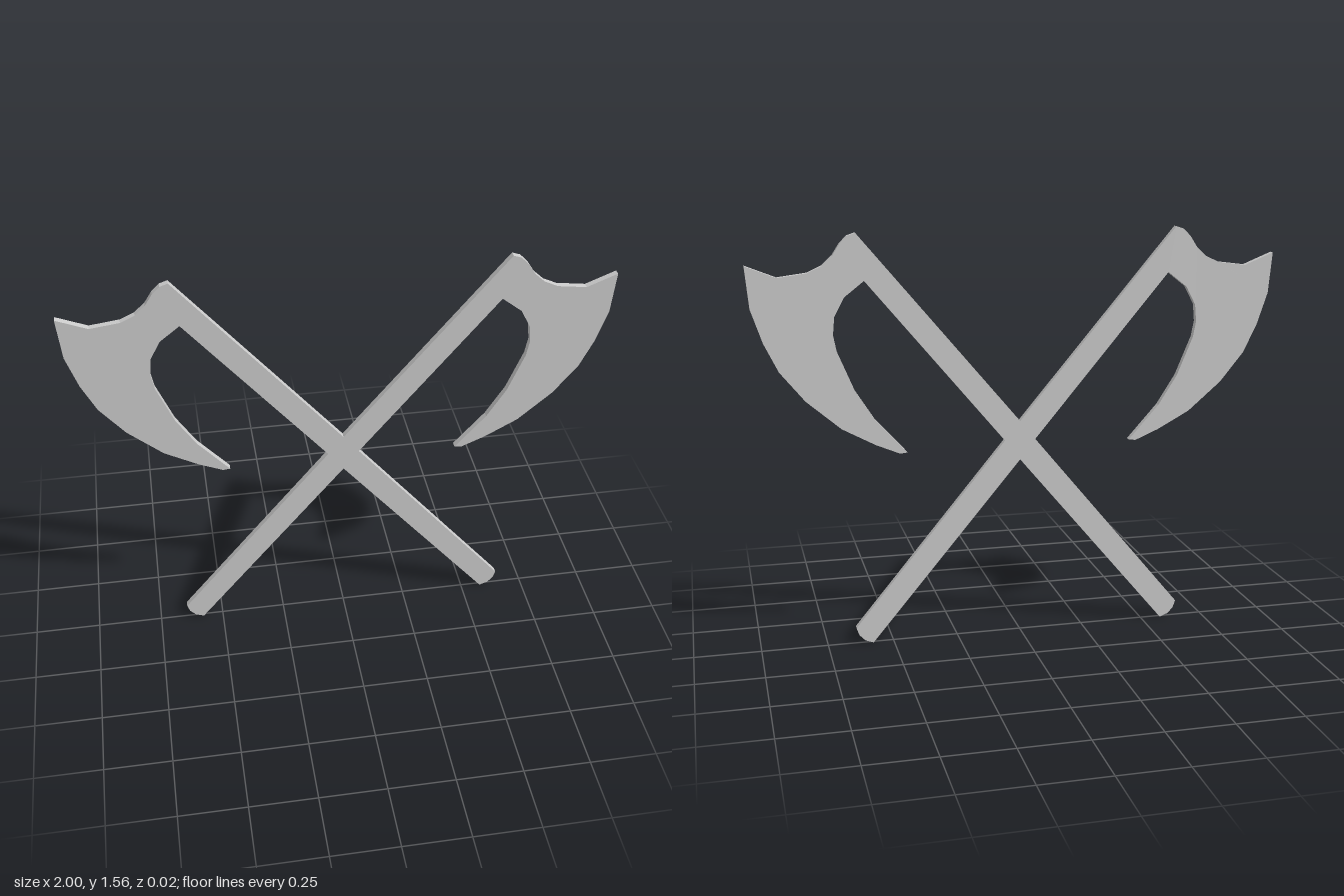
import * as THREE from 'three';

const THICKNESS = 0.024;

// Flat plate cut from an outline, centred on z = 0
function plate(name, points, material) {
  const shape = new THREE.Shape(points.map(([x, y]) => new THREE.Vector2(x, y)));
  const geometry = new THREE.ExtrudeGeometry(shape, { depth: THICKNESS, bevelEnabled: false });
  geometry.translate(0, 0, -THICKNESS / 2);
  const mesh = new THREE.Mesh(geometry, material);
  mesh.name = name;
  return mesh;
}

const mirror = (points) => points.map(([x, y]) => [-x, y]);

export function createModel() {
  const group = new THREE.Group();
  group.name = 'crossedAxes';
  const material = new THREE.MeshStandardMaterial({ color: 0xcccccc, flatShading: true });

  // Half of the X made by the two handles, from the upper notch to the lower one
  const handleHalf = [
    [0, 0.84], [0.605, 1.56], [0.578, 1.388], // upper end, where the blade joins
    [0.059, 0.767], // side notch
    [0.642, 0.064], [0.632, 0.035], [0.61, 0.012], [0.578, 0], // rounded butt
    [0, 0.69],
  ];
  const otherHalf = mirror(handleHalf.slice(1, -1)).reverse();
  group.add(plate('crossedHandles', [...handleHalf, ...otherHalf], material));

  // Bearded blade
  const blade = [
    [0.605, 1.56], [0.635, 1.55], [0.663, 1.522], [0.69, 1.48], [0.728, 1.445],
    [0.78, 1.421], [0.888, 1.407], [1, 1.452], // top edge and horn
    [0.986, 1.297], [0.945, 1.174], [0.893, 1.067], [0.802, 0.955],
    [0.674, 0.845], [0.55, 0.778], [0.46, 0.74], // cutting edge
    [0.433, 0.743], [0.55, 0.874], [0.622, 0.987], [0.684, 1.136],
    [0.695, 1.195], [0.689, 1.26], [0.652, 1.33], [0.578, 1.388], // inner beard
  ];
  group.add(plate('leftBlade', blade, material));
  group.add(plate('rightBlade', mirror(blade), material));

  return group;
}
